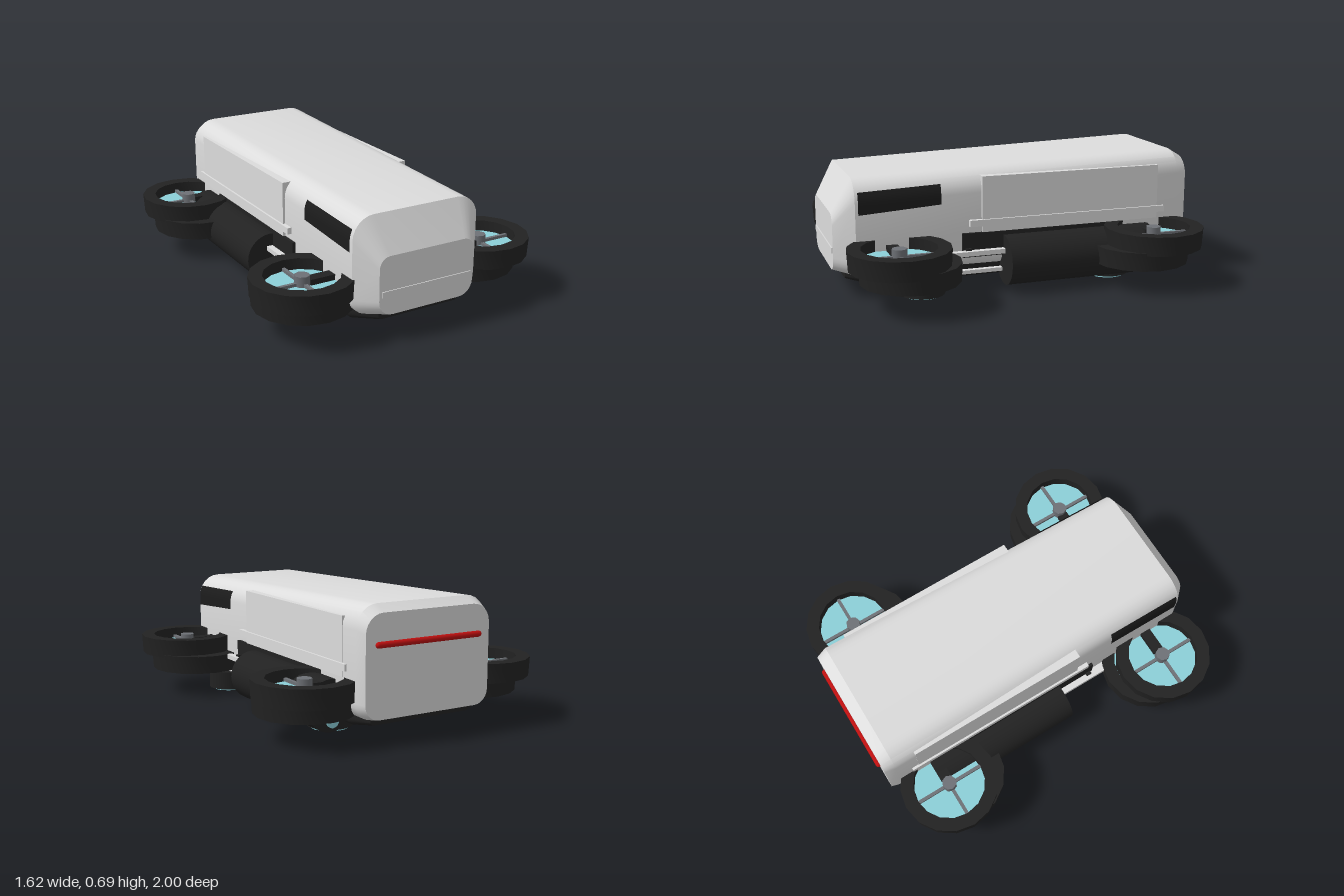
import * as THREE from 'three';
import { toCreasedNormals } from 'three/addons/utils/BufferGeometryUtils.js';

const mat = (name, color) => {
  const m = new THREE.MeshStandardMaterial({ color });
  m.name = name;
  return m;
};

// Rounded rectangle outline, counter-clockwise seen from the front
function section({ hw, yb, yt, rb, rt }, steps = 6) {
  const pts = [];
  const corners = [[hw, yb, -1, 1, rb], [hw, yt, 0, 1, rt], [-hw, yt, 1, -1, rt], [-hw, yb, 2, -1, rb]];
  for (const [x, y, quarter, side, r] of corners) {
    const cx = x - side * r, cy = y === yt ? y - r : y + r;
    for (let i = 0; i <= steps; i++) {
      const a = (quarter + i / steps) * Math.PI / 2;
      pts.push([cx + r * Math.cos(a), cy + r * Math.sin(a)]);
    }
  }
  return pts;
}

// Closed skin through sections ordered from back to front
function loft(sections, crease) {
  const pos = [], idx = [];
  const rings = sections.map(s => section(s));
  const n = rings[0].length;
  rings.forEach((ring, i) => ring.forEach(([x, y]) => pos.push(x, y, sections[i].z)));
  for (let i = 0; i < rings.length - 1; i++) {
    for (let j = 0; j < n; j++) {
      const k = (j + 1) % n, a = i * n + j, b = i * n + k;
      idx.push(a, b, a + n, b, b + n, a + n);
    }
  }
  const last = (rings.length - 1) * n;
  for (let j = 1; j < n - 1; j++) {
    idx.push(0, j + 1, j);
    idx.push(last, last + j, last + j + 1);
  }
  const g = new THREE.BufferGeometry();
  g.setAttribute('position', new THREE.Float32BufferAttribute(pos, 3));
  g.setIndex(idx);
  return toCreasedNormals(g, crease);
}

const BODY = [
  { z: -0.98, hw: 0.37, yb: 0.14, yt: 0.66, rb: 0.08, rt: 0.1 },
  { z: -0.92, hw: 0.387, yb: 0.13, yt: 0.697, rb: 0.09, rt: 0.12 },
  { z: 0.89, hw: 0.37, yb: 0.13, yt: 0.645, rb: 0.09, rt: 0.12 },
  { z: 0.995, hw: 0.28, yb: 0.15, yt: 0.46, rb: 0.08, rt: 0.06 },
];

// Half-width of the main shell at a given height and depth
function shellX(y, z) {
  const [a, b] = [BODY[1], BODY[2]];
  const t = (z - a.z) / (b.z - a.z);
  const hw = a.hw + (b.hw - a.hw) * t, yt = a.yt + (b.yt - a.yt) * t;
  const d = Math.max(0, y - (yt - a.rt));
  return hw - a.rt + Math.sqrt(a.rt * a.rt - d * d);
}

export function createModel() {
  const model = new THREE.Group();
  const shell = mat('shellWhite', 0xdcdcdc), black = mat('black', 0x222222);
  const teal = mat('rotorTeal', 0x8ccfd8), grey = mat('metalGrey', 0x6e7176);
  const red = mat('lampRed', 0xc01010);
  const glass = mat('windowBlack', 0x1c1c1c);
  glass.side = THREE.DoubleSide;

  const add = (name, geo, material, x = 0, y = 0, z = 0, parent = model) => {
    const m = new THREE.Mesh(geo, material);
    m.name = name;
    m.position.set(x, y, z);
    parent.add(m);
    return m;
  };
  // Box given by its limits
  const box = (name, material, x0, x1, y0, y1, z0, z1, parent) =>
    add(name, new THREE.BoxGeometry(Math.abs(x1 - x0), y1 - y0, z1 - z0), material,
      (x0 + x1) / 2, (y0 + y1) / 2, (z0 + z1) / 2, parent);
  // Upright cylinder given by its bottom and top
  const disc = (name, material, r, y0, y1, x, z, sides = 24, parent) =>
    add(name, new THREE.CylinderGeometry(r, r, y1 - y0, sides), material, x, (y0 + y1) / 2, z, parent);

  // Shell and underbody
  add('bodyShell', loft(BODY, 0.5), shell);
  add('underbody', loft([
    { z: -0.92, hw: 0.3, yb: 0.1, yt: 0.16, rb: 0.02, rt: 0.01 },
    { z: -0.78, hw: 0.34, yb: 0.075, yt: 0.18, rb: 0.04, rt: 0.01 },
    { z: 0.8, hw: 0.34, yb: 0.075, yt: 0.18, rb: 0.04, rt: 0.01 },
    { z: 0.93, hw: 0.24, yb: 0.1, yt: 0.16, rb: 0.02, rt: 0.01 },
  ], 0.4), black);
  box('bellyPanel', shell, -0.25, 0.25, 0.068, 0.08, -0.2, 0.42);
  disc('bellySensor', shell, 0.075, 0.048, 0.09, 0, 0.7);

  // Light bars
  box('frontLightBar', shell, -0.265, 0.265, 0.25, 0.28, 0.985, 1.0);
  const tail = add('tailLight', new THREE.CapsuleGeometry(0.016, 0.6, 4, 8), red, 0, 0.507, -0.984);
  tail.rotation.z = Math.PI / 2;

  // Ring duct outline, shared by all ducts
  const duct = (h) => toCreasedNormals(new THREE.LatheGeometry(
    [[0.262, 0], [0.268, h], [0.196, h], [0.196, 0], [0.262, 0]].map(p => new THREE.Vector2(...p)), 16), 0.5);
  const upperDuct = duct(0.105), lowerDuct = duct(0.1);

  for (const s of [1, -1]) {
    const side = new THREE.Group();
    side.name = s > 0 ? 'leftSide' : 'rightSide';
    model.add(side);

    // Window strip wrapped over the shoulder
    const win = new THREE.PlaneGeometry(1, 1, 6, 6), p = win.attributes.position;
    for (let i = 0; i < p.count; i++) {
      const u = p.getX(i) + 0.5, v = p.getY(i) + 0.5;
      const z = 0.44 + 0.435 * u;
      const y = (0.495 - 0.028 * u) * (1 - v) + (0.6 - 0.017 * u) * v;
      p.setXYZ(i, s * (shellX(y, z) + 0.006), y, z);
    }
    win.computeVertexNormals();
    add('sideWindow', win, glass, 0, 0, 0, side);

    // Cargo door, its rail and the dark skirt
    box('cargoDoor', shell, s * 0.3, s * 0.389, 0.33, 0.63, -0.8, 0.22, side);
    box('doorRail', shell, s * 0.36, s * 0.4, 0.365, 0.4, -0.84, 0.29, side);
    box('skirt', black, s * 0.3, s * 0.392, 0.2, 0.33, -0.49, 0.33, side);

    // Long side tank with a small tail propeller
    const tank = add('sideTank', new THREE.CylinderGeometry(0.135, 0.135, 0.84, 28), black, s * 0.41, 0.175, -0.315, side);
    tank.rotation.x = Math.PI / 2;
    const prop = add('tankPropeller', new THREE.CylinderGeometry(0.035, 0.035, 0.01, 16), teal, s * 0.41, 0.1, -0.75, side);
    prop.rotation.x = Math.PI / 2;

    // Struts ahead of the tank
    box('upperStrut', shell, s * 0.395, s * 0.43, 0.215, 0.24, 0.08, 0.4, side);
    box('lowerStrut', shell, s * 0.35, s * 0.38, 0.105, 0.125, 0.08, 0.54, side);
    box('strutClip', black, s * 0.385, s * 0.41, 0.21, 0.25, 0.285, 0.315, side);

    for (const e of [1, -1]) {
      // Stacked lift ducts with rotor, spokes and hub
      const rotor = new THREE.Group();
      rotor.name = e > 0 ? 'frontLiftUnit' : 'rearLiftUnit';
      side.add(rotor);
      const x = s * 0.543, z = e * 0.705, lx = s * 0.505, lz = e * 0.643;
      add('upperDuct', upperDuct, black, x, 0.225, z, rotor);
      add('lowerDuct', lowerDuct, black, lx, 0.14, lz, rotor);
      disc('upperRotorDisc', teal, 0.198, 0.262, 0.27, x, z, 24, rotor);
      disc('lowerRotorDisc', teal, 0.198, 0.175, 0.183, lx, lz, 24, rotor);
      box('crossSpoke', grey, x - 0.195, x + 0.195, 0.272, 0.288, z - 0.009, z + 0.009, rotor);
      box('longSpoke', grey, x - 0.009, x + 0.009, 0.272, 0.288, z - 0.195, z + 0.195, rotor);
      disc('hub', grey, 0.04, 0.265, 0.325, x, z, 8, rotor);
      box('ductArm', black, s * 0.34, s * 0.51, 0.265, 0.3, z - 0.03, z + 0.03, rotor);
      box('lowerDuctArm', black, s * 0.3, s * 0.5, 0.15, 0.174, lz - 0.03, lz + 0.03, rotor);

      // Thruster pods under the belly: a pair in front, one behind
      for (const px of e > 0 ? [0.285, 0.345] : [0.3]) {
        const low = e > 0 ? 0.016 : 0.022;
        disc('bellyThruster', black, 0.12, low, 0.12, s * px, e * 0.54, 24, rotor);
        disc('bellyThrusterDisc', teal, 0.1, low - 0.012 + (px > 0.34 ? 0.003 : 0), low + 0.005, s * px, e * 0.54, 24, rotor);
      }
    }
  }
  return model;
}
